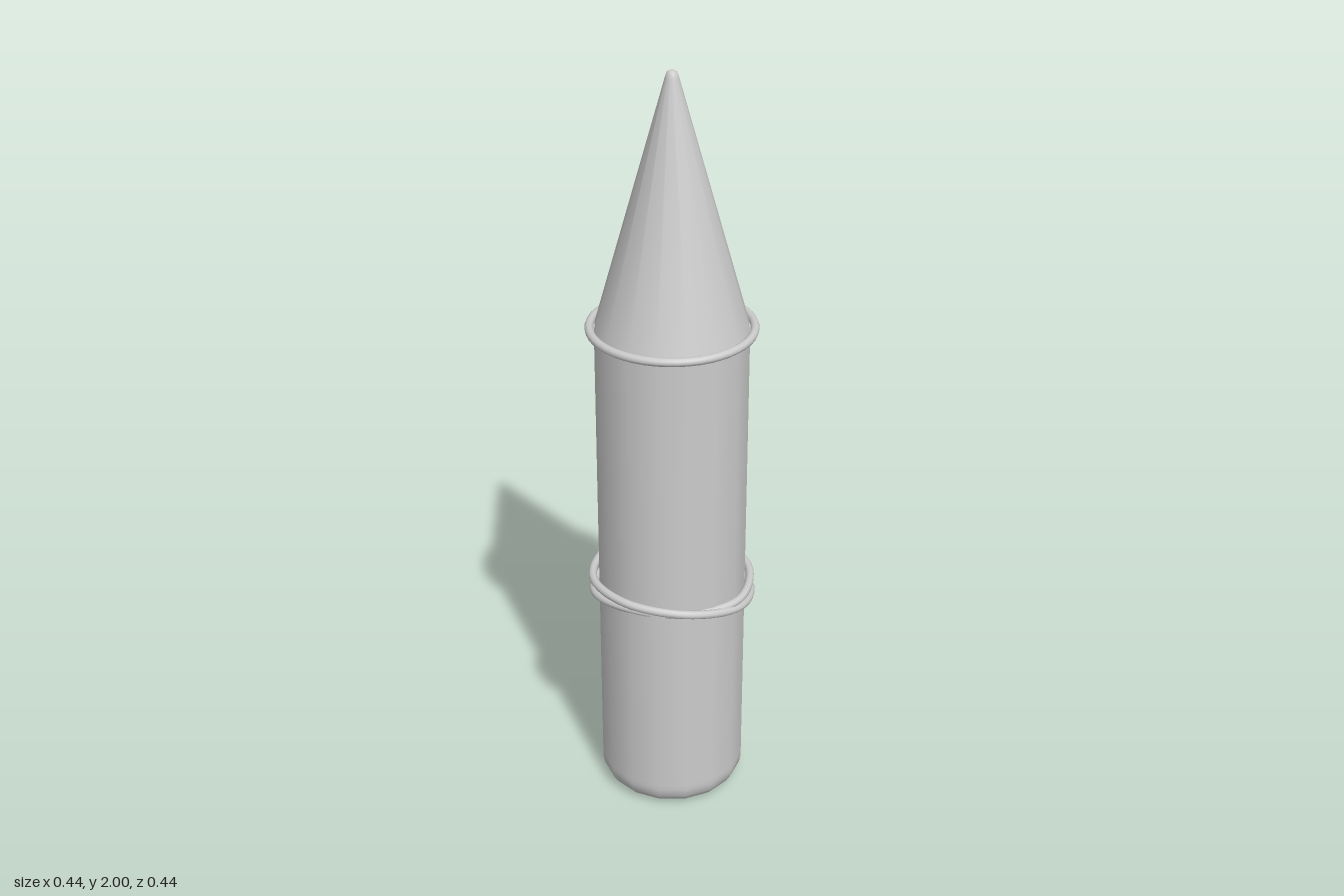
import * as THREE from 'three';

const SIDES = 16;
const WIRE = 0.011;

export function createModel() {
  const model = new THREE.Group();
  const material = new THREE.MeshStandardMaterial({ color: 0xcccccc });

  const add = (name, geometry) => {
    const mesh = new THREE.Mesh(geometry, material);
    mesh.name = name;
    model.add(mesh);
    return mesh;
  };
  const lathe = (name, profile) =>
    add(name, new THREE.LatheGeometry(profile.map(([r, y]) => new THREE.Vector2(r, y)), SIDES));

  // Cylindrical body with a rounded bottom rim
  lathe('body', [
    [0, 0], [0.14, 0], [0.155, 0.002], [0.178, 0.014], [0.191, 0.034],
    [0.195, 0.055], [0.195, 0.07], [0.195, 1.355],
  ]);

  // Tapered point with a small blunt tip
  lathe('point', [[0.195, 1.355], [0.0165, 1.985]]);
  lathe('tip', [[0.0165, 1.985], [0.013, 1.996], [0.007, 2], [0, 2]]);

  // Ring around the seam between body and point
  const ring = add('seamRing', new THREE.TorusGeometry(0.205, WIRE, 10, 48));
  ring.rotation.x = Math.PI / 2;
  ring.position.y = 1.355;

  // Wire wound twice around the body, crossing itself at the front:
  // height and radius every 45 degrees, from the right round the back
  const winding = [
    [0.578, 0.211], [0.575, 0.208], [0.58, 0.211], [0.59, 0.208],
    [0.602, 0.208], [0.62, 0.185], [0.622, 0.185], [0.623, 0.206],
    [0.63, 0.208], [0.635, 0.208], [0.636, 0.211], [0.641, 0.208],
    [0.645, 0.211], [0.65, 0.207], [0.638, 0.209], [0.603, 0.21],
  ];
  const path = new THREE.CatmullRomCurve3(winding.map(([y, r], i) => {
    const a = -i * Math.PI / 4;
    return new THREE.Vector3(r * Math.cos(a), y, r * Math.sin(a));
  }), true);
  add('woundWire', new THREE.TubeGeometry(path, 128, WIRE, 10, true));

  return model;
}
